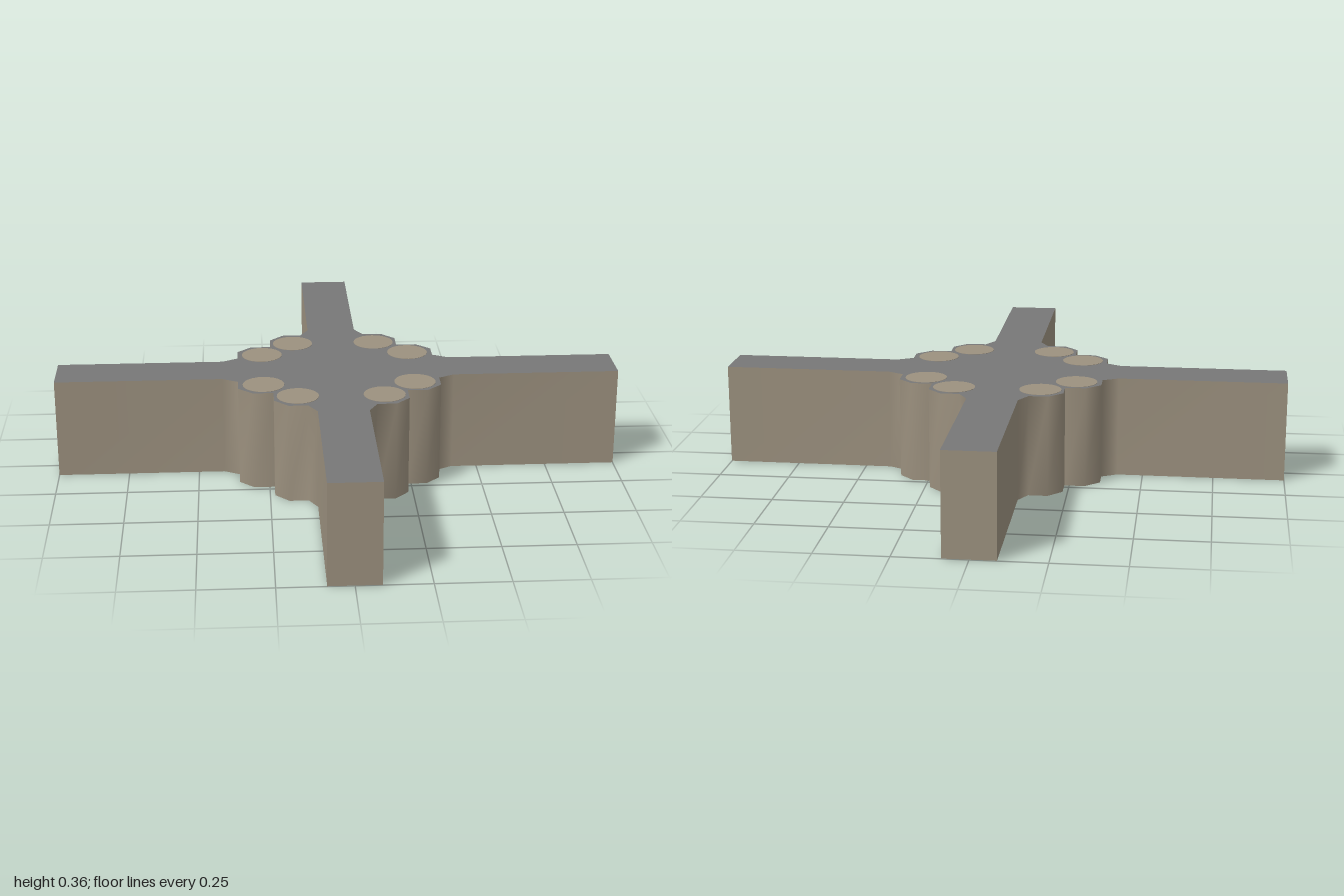
import * as THREE from 'three';

const H = 0.355;   // slab height
const W = 0.088;   // half width of an arm

// Half of one inner corner, from an arm tip to the notch between two lobes
const half = [[1, W], [0.41, W], [0.355, 0.118], [0.355, 0.185], [0.305, 0.233], [0.233, 0.233]];
const otherHalf = half.map(([x, y]) => [y, x]).reverse();

// Upright smooth strip standing on a plan path
function wallGeometry(path) {
  const pos = [], index = [];
  path.forEach(([x, y], i) => {
    pos.push(x, 0, -y, x, H, -y);
    if (i) {
      const a = 2 * i - 2;
      index.push(a, a + 2, a + 3, a, a + 3, a + 1);
    }
  });
  const g = new THREE.BufferGeometry();
  g.setAttribute('position', new THREE.Float32BufferAttribute(pos, 3));
  g.setIndex(index);
  g.computeVertexNormals();
  return g;
}

export function createModel() {
  const stone = new THREE.MeshStandardMaterial({ color: 0x9c917f });
  stone.name = 'warm stone';
  const grey = new THREE.MeshStandardMaterial({ color: 0x777777 });
  grey.name = 'mid grey';
  const dark = new THREE.MeshStandardMaterial({ color: 0x4a4d4c });
  dark.name = 'dark grey';

  const model = new THREE.Group();
  model.name = 'crossJunction';
  const add = (name, geometry, material, parent = model) => {
    const mesh = new THREE.Mesh(geometry, material);
    mesh.name = name;
    parent.add(mesh);
    return mesh;
  };

  // Full plan outline: the corner repeated four times
  const outline = [];
  for (let k = 0; k < 4; k++) {
    for (const [x, y] of [...half, ...otherHalf.slice(1)]) {
      outline.push(new THREE.Vector2(x, y).rotateAround(new THREE.Vector2(), k * Math.PI / 2));
    }
  }
  const plan = new THREE.Shape(outline);

  // Top and underside
  add('topFace', new THREE.ShapeGeometry(plan).rotateX(-Math.PI / 2).translate(0, H, 0), grey);
  add('underside', new THREE.ShapeGeometry(plan).rotateX(Math.PI / 2), dark);

  // Walls, arm ends and corner columns of each quarter
  for (let k = 0; k < 4; k++) {
    const quarter = new THREE.Group();
    quarter.name = 'quarter' + (k + 1);
    quarter.rotation.y = k * Math.PI / 2;
    model.add(quarter);
    add('armWall', wallGeometry(half), stone, quarter);
    add('nextArmWall', wallGeometry(otherHalf), stone, quarter);
    add('armEnd', wallGeometry([[1, -W], [1, W]]), stone, quarter);
    for (const [x, z] of [[0.266, 0.15], [0.15, 0.266]]) {
      const column = add('column', new THREE.CylinderGeometry(0.073, 0.073, H + 0.002, 24), stone, quarter);
      column.position.set(x, H / 2, z);
    }
  }

  // Small square plate under the centre
  const plate = add('centrePlate', new THREE.BoxGeometry(0.1, 0.004, 0.1), grey);
  plate.position.y = 0.001;

  return model;
}
